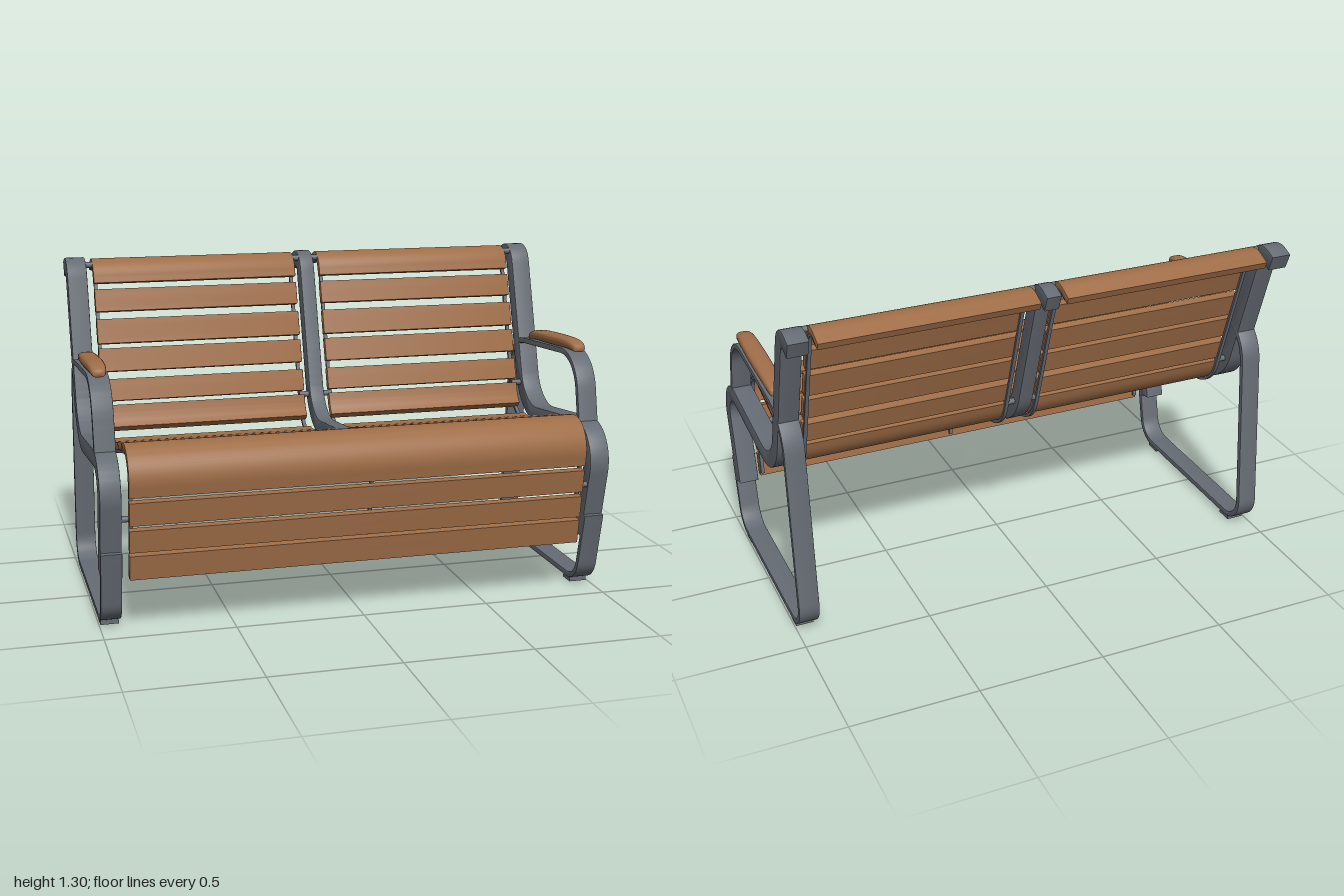
import * as THREE from 'three';
import { toCreasedNormals } from 'three/addons/utils/BufferGeometryUtils.js';

const wood = new THREE.MeshStandardMaterial({ color: 0xa06e48 });
wood.name = 'wood';
const metal = new THREE.MeshStandardMaterial({ color: 0x676d75 });
metal.name = 'grey metal';

// Path through [z, y, cornerRadius] points, rounded at the corners, evenly sampled
function roundedPath(pts, count) {
  const v = pts.map(p => new THREE.Vector2(p[0], p[1]));
  const path = new THREE.Path();
  path.moveTo(v[0].x, v[0].y);
  for (let i = 1; i < v.length - 1; i++) {
    const a = v[i - 1].clone().sub(v[i]).normalize();
    const b = v[i + 1].clone().sub(v[i]).normalize();
    const half = Math.acos(a.dot(b)) / 2;
    const r = pts[i][2], t = r / Math.tan(half);
    const start = v[i].clone().addScaledVector(a, t);
    const centre = v[i].clone().addScaledVector(a.clone().add(b).normalize(), r / Math.sin(half));
    const end = v[i].clone().addScaledVector(b, t);
    const a0 = Math.atan2(start.y - centre.y, start.x - centre.x);
    const a1 = Math.atan2(end.y - centre.y, end.x - centre.x);
    path.lineTo(start.x, start.y);
    path.absarc(centre.x, centre.y, r, a0, a1, a.x * b.y - a.y * b.x > 0);
  }
  const last = v[v.length - 1];
  path.lineTo(last.x, last.y);
  return path.getSpacedPoints(count);
}

// Points shifted sideways; positive is towards the sitter
function shifted(points, d) {
  return points.map((p, i) => {
    const q = points[Math.min(i + 1, points.length - 1)].clone().sub(points[Math.max(i - 1, 0)]).normalize();
    return new THREE.Vector2(p.x + q.y * d, p.y - q.x * d);
  });
}

// Strip between two offsets of a path, spanning x0 to x1
function band(name, points, inner, outer, x0, x1, material, bevel = 0.004) {
  const shape = new THREE.Shape([...shifted(points, outer), ...shifted(points, inner).reverse()]);
  const geo = new THREE.ExtrudeGeometry(shape, {
    depth: x1 - x0 - 2 * bevel, bevelEnabled: bevel > 0, bevelSize: bevel,
    bevelThickness: bevel, bevelOffset: -bevel, bevelSegments: 2,
  });
  geo.rotateY(-Math.PI / 2);
  geo.translate(x1 - bevel, 0, 0);
  const mesh = new THREE.Mesh(toCreasedNormals(geo, 0.6), material);
  mesh.name = name;
  return mesh;
}

// Section of a sampled path thinned to a given number of steps
function section(points, i0, i1, steps) {
  return Array.from({ length: steps + 1 }, (_, k) => points[Math.round(i0 + (i1 - i0) * k / steps)]);
}

// Soft wooden armrest pad, gently sloping down to the back
function armrest(x) {
  const geo = new THREE.SphereGeometry(1, 24, 28);
  geo.rotateX(Math.PI / 2);
  const pos = geo.attributes.position;
  for (let i = 0; i < pos.count; i++) {
    const t = pos.getZ(i), px = pos.getX(i), py = pos.getY(i);
    const r = Math.hypot(px, py);
    const grow = r > 1e-5 ? Math.pow(r, 0.4) / r : 0;
    const cx = px * grow, cy = py * grow;
    const soft = n => Math.sign(n) * Math.pow(Math.abs(n), 0.7);
    const z = 0.04 + 0.24 * t;
    const y = 0.967 - 0.063 * (0.2 - z) - 0.017 * Math.pow(Math.abs(t), 6);
    pos.setXYZ(i, x + 0.037 * soft(cx), y + 0.023 * soft(cy), z);
  }
  geo.computeVertexNormals();
  const mesh = new THREE.Mesh(geo, wood);
  mesh.name = 'armrest';
  return mesh;
}

export function createModel() {
  const bench = new THREE.Group();
  bench.name = 'bench';

  const rail = roundedPath([[0.407, 0.228], [0.51, 0.672, 0.12], [-0.207, 0.597, 0.2],
    [-0.421, 1.283, 0.06], [-0.517, 1.245]], 160);
  const loop = roundedPath([[0.379, 0.672], [0.32, 0.945, 0.16], [-0.359, 0.897, 0.16],
    [-0.438, 0.028, 0.095], [0.397, 0.028, 0.1], [0.466, 0.32]], 200);
  const surface = roundedPath([[0.469, 0.21], [0.552, 0.755, 0.12], [-0.172, 0.586, 0.13],
    [-0.4, 1.32, 0.08], [-0.534, 1.262]], 700);

  // Side frames: curved rail, leg loop, feet and armrest
  for (const side of [-1, 1]) {
    const frame = new THREE.Group();
    frame.name = side > 0 ? 'leftFrame' : 'rightFrame';
    const x0 = side > 0 ? 0.92 : -1, x1 = x0 + 0.08;
    frame.add(band('sideRail', rail, -0.033, 0.033, x0, x1, metal));
    frame.add(band('legLoop', loop, -0.011, 0.011, x0, x1, metal, 0.002));
    for (const z of [0.31, -0.325]) {
      const foot = new THREE.Mesh(new THREE.BoxGeometry(0.07, 0.02, 0.065), metal);
      foot.name = 'foot';
      foot.position.set(side * 0.96, 0.01, z);
      frame.add(foot);
    }
    frame.add(armrest(side * 0.96));
    bench.add(frame);
  }

  // Centre rail under the seat and up the back, with a thin strip down the front
  const railStart = rail.findIndex(p => p.x <= 0.37);
  bench.add(band('centreRail', rail.slice(railStart), -0.033, 0.033, -0.03, 0.03, metal));

  // Slat positions along the surface path
  const last = surface.length - 1;
  const front = y => surface.findIndex(p => p.y >= y);
  const seat = z => surface.findIndex(p => p.x <= z);
  const back = y => surface.findIndex(p => p.x < -0.1 && p.y >= y);
  const seatStart = seat(0.36);

  // Front slats and rolled seat edge run the full width
  const frontSlats = [[0, front(0.305), 2], [front(0.32), front(0.405), 2],
    [front(0.425), front(0.515), 2], [front(0.535), seatStart, 28]];
  for (const [a, b, n] of frontSlats) {
    bench.add(band(n > 2 ? 'frontRoll' : 'frontSlat', section(surface, a, b, n), -0.03, 0, -0.895, 0.895, wood));
  }

  // Seat and back slats, one set on each side of the centre rail
  const pairs = [];
  for (const [z0, z1] of [[0.345, 0.24], [0.23, 0.12], [0.11, 0.01], [-0.01, -0.11]]) {
    pairs.push(['seatSlat', seat(z0), seat(z1), 4]);
  }
  pairs.push(['lowerBackSlat', seat(-0.17), back(0.725), 10]);
  for (const [y0, y1] of [[0.74, 0.825], [0.855, 0.945], [0.965, 1.06], [1.09, 1.175]]) {
    pairs.push(['backSlat', back(y0), back(y1), 4]);
  }
  pairs.push(['topRoll', back(1.2), last, 24]);
  for (const [name, a, b, n] of pairs) {
    const pts = section(surface, a, b, n);
    bench.add(band(name, pts, -0.03, 0, 0.052, 0.895, wood));
    bench.add(band(name, pts, -0.03, 0, -0.895, -0.052, wood));
  }

  // Thin straps holding the slats from behind
  const whole = section(surface, 4, last - 10, 120);
  const upper = section(surface, seatStart, last - 10, 90);
  for (const [x, pts] of [[0.885, whole], [-0.885, whole], [0.065, upper], [-0.065, upper],
    [0.03, section(surface, 4, seatStart, 50)]]) {
    bench.add(band('strap', pts, -0.04, -0.028, x - 0.007, x + 0.007, metal, 0));
  }

  // Short pins joining the straps to the rails
  const pins = [[1.27, -0.415], [0.72, -0.24], [0.63, 0.15], [0.45, 0.475]];
  for (const [y, z] of pins) {
    for (const x of y < 0.5 ? [-0.905, 0.905] : [-0.905, -0.045, 0.045, 0.905]) {
      const pin = new THREE.Mesh(new THREE.CylinderGeometry(0.012, 0.012, 0.05, 12), metal);
      pin.name = 'pin';
      pin.rotation.z = Math.PI / 2;
      pin.position.set(x, y, z);
      bench.add(pin);
    }
  }
  return bench;
}
